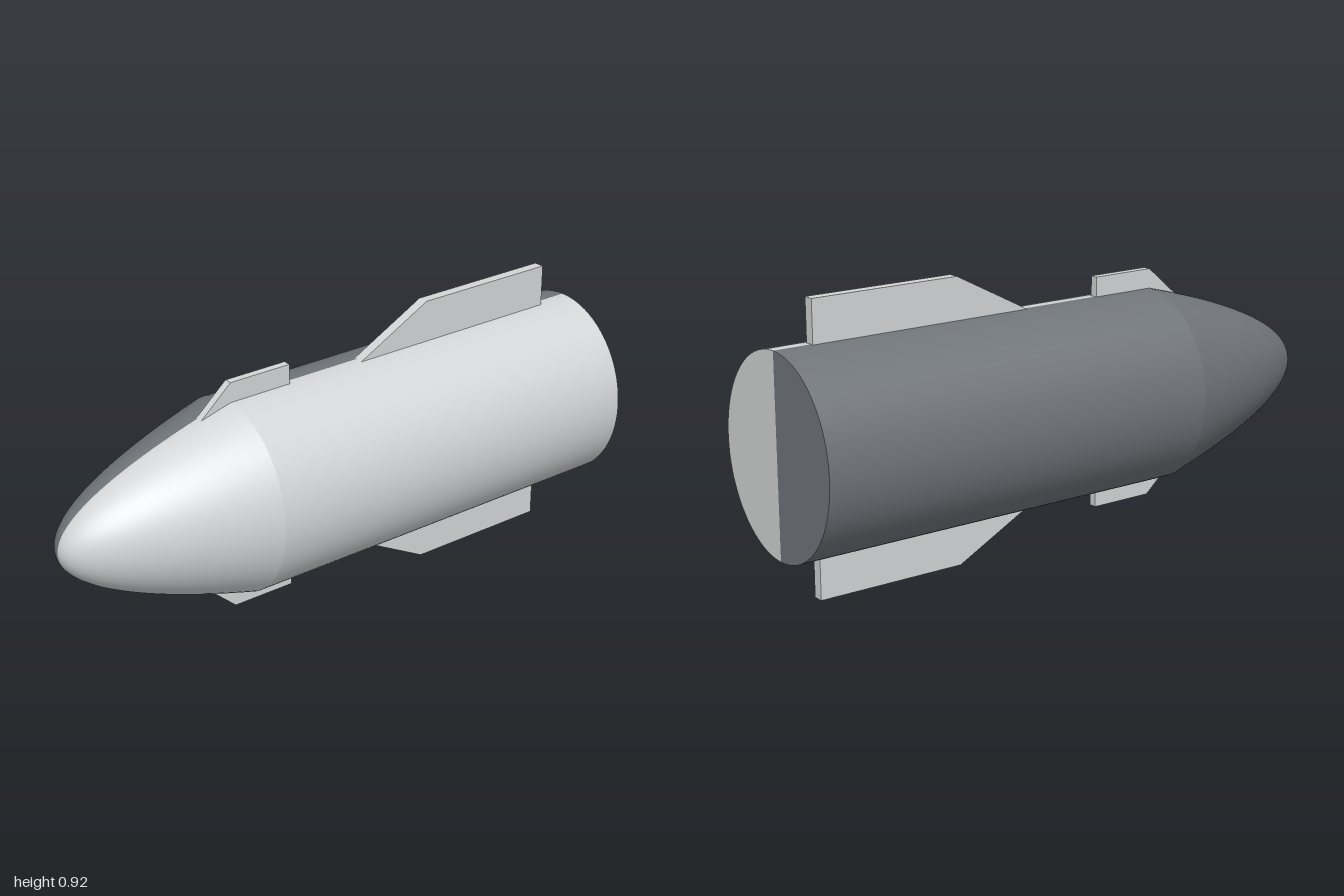
import * as THREE from 'three';

const AXIS_Y = 0.4635, RY = 0.3175, RZ = 0.288, SHOULDER = -0.39;

const lightGrey = new THREE.MeshStandardMaterial({ color: 0xd3d5d6 });
lightGrey.name = 'light grey';
const darkGrey = new THREE.MeshStandardMaterial({ color: 0x70757a });
darkGrey.name = 'dark grey';

// Half of an elliptical body of revolution about x; profile is [x, radius] from tail to nose
function halfShell(name, profile, front) {
  const pts = profile.map(([x, r]) => new THREE.Vector2(r, -x));
  const geo = new THREE.LatheGeometry(pts, 40, front ? -Math.PI / 2 : Math.PI / 2, Math.PI);
  geo.rotateZ(Math.PI / 2).scale(1, RY, RZ);
  const mesh = new THREE.Mesh(geo, front ? lightGrey : darkGrey);
  mesh.name = name;
  mesh.position.y = AXIS_Y;
  return mesh;
}

// Flat fin extruded along z; outline is [x, y]
function fin(name, outline, z0, z1) {
  const shape = new THREE.Shape(outline.map(([x, y]) => new THREE.Vector2(x, y)));
  const geo = new THREE.ExtrudeGeometry(shape, { depth: z1 - z0, bevelEnabled: false });
  const mesh = new THREE.Mesh(geo, lightGrey);
  mesh.name = name;
  mesh.position.z = z0;
  return mesh;
}

export function createModel() {
  const model = new THREE.Group();
  model.name = 'finnedBody';

  // Parabolic nose profile, finely spaced towards the tip
  const nose = [];
  for (let i = 0; i <= 32; i++) {
    const r = 1 - i / 32;
    nose.push([-1 + (SHOULDER + 1) * r * r, r]);
  }

  // Two-tone nose, barrel and flat tail, split along the vertical mid-plane
  for (const front of [true, false]) {
    const side = front ? 'Front' : 'Back';
    model.add(
      halfShell('nose' + side, nose, front),
      halfShell('barrel' + side, [[1, 1], [SHOULDER, 1]], front),
      halfShell('tailCap' + side, [[1, 0], [1, 1]], front),
    );
  }

  // Upper and lower fins, rooted inside the body
  model.add(
    fin('noseFinUpper', [[-0.55, 0.706], [-0.17, 0.706], [-0.17, 0.845], [-0.39, 0.845]], -0.006, 0.02),
    fin('noseFinLower', [[-0.55, 0.221], [-0.39, 0.08], [-0.17, 0.08], [-0.17, 0.221]], -0.006, 0.02),
    fin('tailFinUpper', [[0.07, 0.761], [0.875, 0.761], [0.875, 0.917], [0.37, 0.917]], -0.01, 0.025),
    fin('tailFinLower', [[0.05, 0.168], [0.37, 0], [0.875, 0], [0.875, 0.168]], -0.01, 0.025),
  );
  return model;
}
